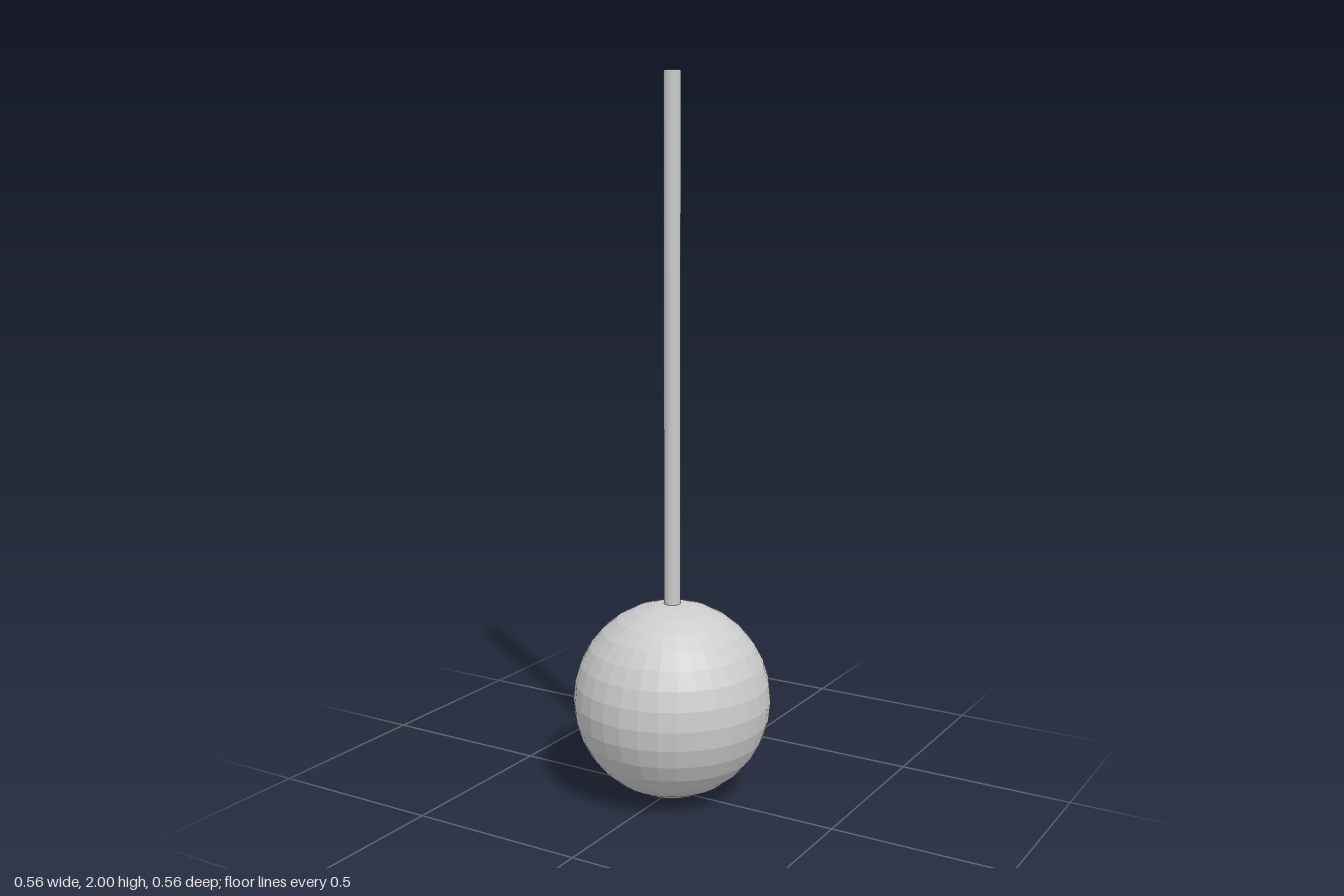
import * as THREE from 'three';

export function createModel() {
  const model = new THREE.Group();
  const material = new THREE.MeshStandardMaterial({ color: 0xcccccc, flatShading: true });
  const radius = 0.278;

  // Faceted ball resting on the ground
  const ball = new THREE.Mesh(new THREE.SphereGeometry(radius, 32, 16), material);
  ball.name = 'ball';
  ball.position.y = radius;
  model.add(ball);

  // Thin upright rod, its foot sunk into the top of the ball
  const bottom = 0.5, top = 2;
  const rod = new THREE.Mesh(new THREE.CylinderGeometry(0.023, 0.023, top - bottom, 32), material);
  rod.name = 'rod';
  rod.position.y = (bottom + top) / 2;
  model.add(rod);

  return model;
}
